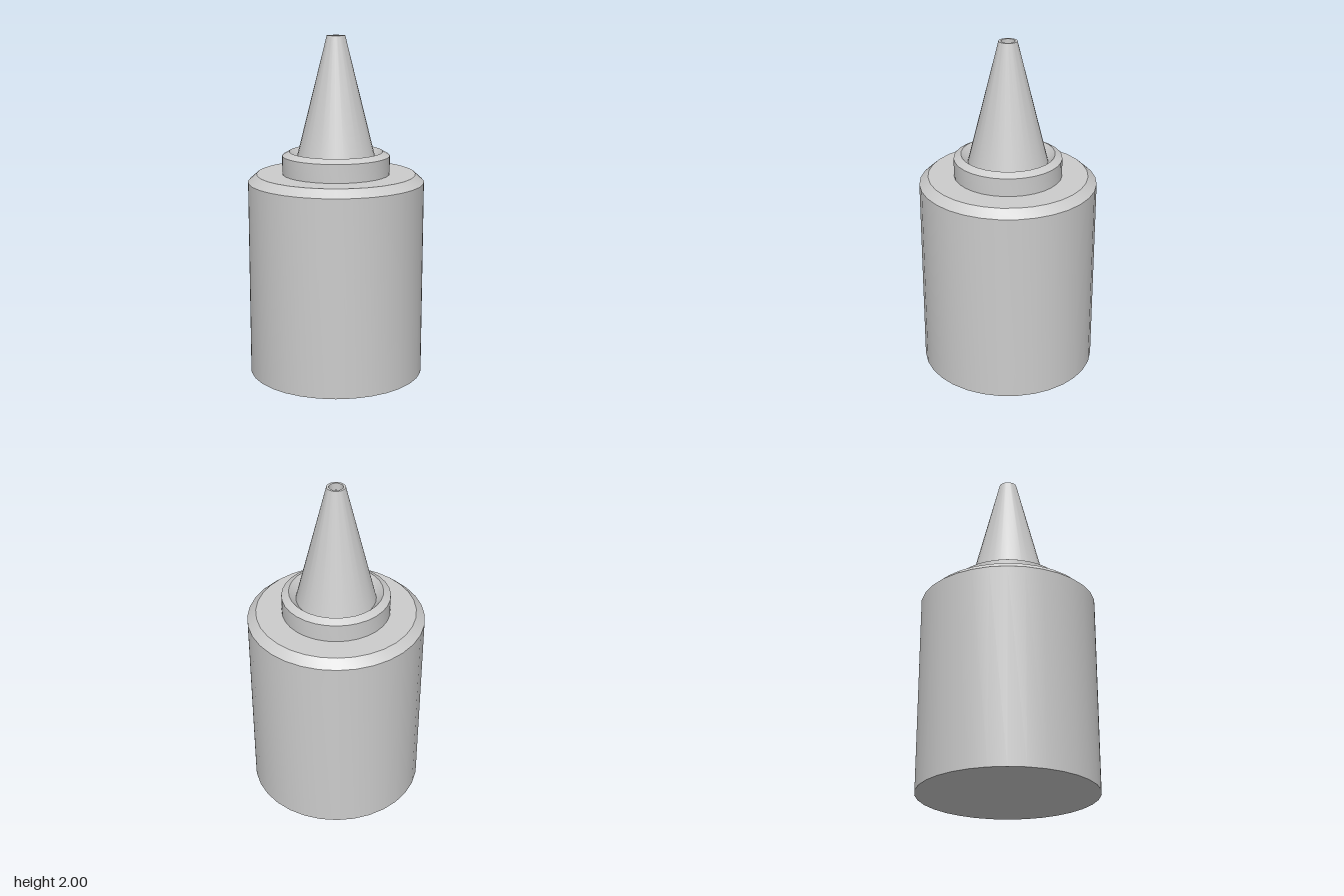
import * as THREE from 'three';
import { toCreasedNormals } from 'three/addons/utils/BufferGeometryUtils.js';

const SIDES = 32;

// Turned part from a list of [radius, height] points, with sharp profile corners
function turned(name, profile, material) {
  const points = profile.map(([r, y]) => new THREE.Vector2(r, y));
  const geometry = toCreasedNormals(new THREE.LatheGeometry(points, SIDES), 0.5);
  const mesh = new THREE.Mesh(geometry, material);
  mesh.name = name;
  return mesh;
}

export function createModel() {
  const group = new THREE.Group();
  group.name = 'nozzleBottle';
  const grey = new THREE.MeshStandardMaterial({ color: 0xcccccc, side: THREE.DoubleSide });

  // Bottle with a chamfered shoulder, open under the collar
  group.add(turned('body', [[0, 0], [0.517, 0], [0.517, 1.155], [0.466, 1.2], [0.315, 1.2]], grey));

  // Collar with a chamfered rim that slopes in to the foot of the nozzle
  group.add(turned('collar', [[0.315, 1.2], [0.315, 1.307], [0.273, 1.331], [0.232, 1.285]], grey));

  // Tapered nozzle with a shallow hole in its tip
  group.add(turned('nozzle', [[0.232, 1.285], [0.053, 2], [0.04, 2], [0.04, 1.96], [0, 1.96]], grey));

  return group;
}
